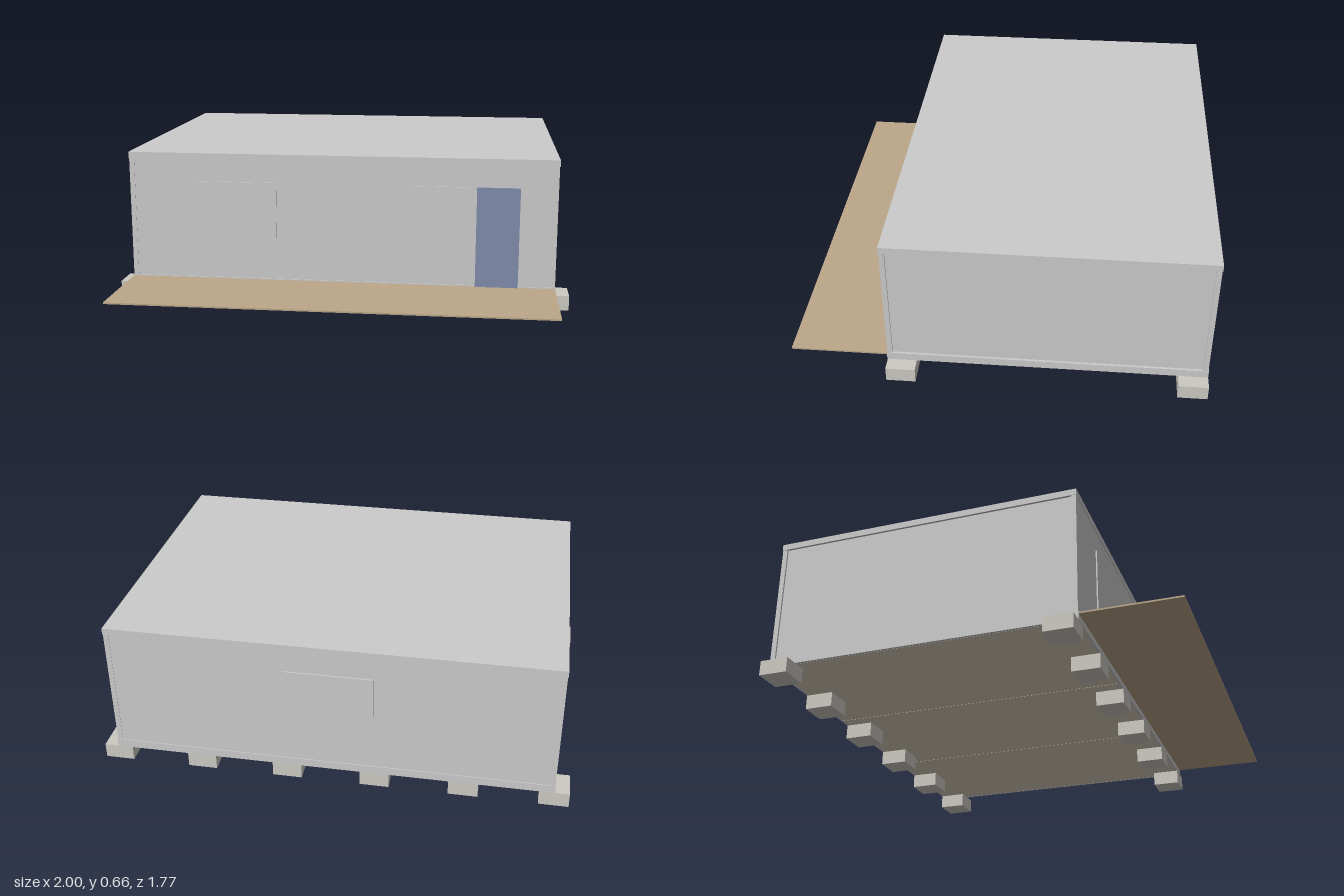
import * as THREE from 'three';

const X = 0.94, FRONT = 0.472, BACK = -0.88;      // outer faces of the frame
const DEPTH = FRONT - BACK, MID = (FRONT + BACK) / 2;
const BASE = 0.065, SILL = 0.1, EAVE = 0.632, TOP = 0.66;

const material = (color) => new THREE.MeshStandardMaterial({ color });
const grey = material(0xcccccc);
const concrete = material(0xcdcac3);
const flooring = material(0xd9d0bd);
const wood = material(0xbba78a);
const doorBlue = material(0x808cac);

export function createModel() {
  const model = new THREE.Group();

  // Box given by its minimum and maximum corners
  function box(name, mat, [x0, y0, z0], [x1, y1, z1]) {
    const mesh = new THREE.Mesh(new THREE.BoxGeometry(x1 - x0, y1 - y0, z1 - z0), mat);
    mesh.position.set((x0 + x1) / 2, (y0 + y1) / 2, (z0 + z1) / 2);
    mesh.name = name;
    model.add(mesh);
    return mesh;
  }

  // Foundation blocks, six along the front and six along the back
  for (let i = 0; i < 6; i++) {
    const x = -0.9375 + i * 0.375;
    for (const z of [0.4075, -0.8175]) {
      box('foundationBlock', concrete, [x - 0.0625, 0, z - 0.0625], [x + 0.0625, BASE, z + 0.0625]);
    }
  }

  // Floor of three bays with narrow seams
  const bay = (2 * X - 0.02) / 3;
  for (let i = 0; i < 3; i++) {
    const x = -X + 0.01 + i * bay;
    box('floorPanel', flooring, [x + 0.001, BASE, BACK + 0.01], [x + bay - 0.001, SILL - 0.01, FRONT - 0.01]);
  }

  // Flat roof slab, its edge forming the top beam
  box('roof', grey, [-X, EAVE, BACK], [X, TOP, FRONT]);

  // Base beams
  box('frontBaseBeam', grey, [-X, BASE, FRONT - 0.01], [X, SILL, FRONT]);
  box('backBaseBeam', grey, [-X, BASE, BACK], [X, SILL, BACK + 0.01]);
  for (const s of [-1, 1]) {
    const xs = [s * X, s * (X - 0.01)].sort((a, b) => a - b);
    box('sideBaseBeam', grey, [xs[0], BASE, BACK + 0.01], [xs[1], SILL, FRONT - 0.01]);
  }

  // Corner posts, set slightly inside the beams
  for (const s of [-1, 1]) {
    for (const z of [FRONT - 0.013, BACK + 0.013]) {
      const x = s * (X - 0.013);
      box('cornerPost', grey, [x - 0.011, SILL, z - 0.011], [x + 0.011, EAVE, z + 0.011]);
    }
  }

  // Recessed wall panels
  const inset = 0.022;
  for (const s of [-1, 1]) {
    const side = box('sideWall', grey, [-0.01, SILL, BACK + inset], [0.01, EAVE, FRONT - inset]);
    side.position.x = s * (X - 0.02);
    side.position.z = MID;
  }
  box('frontWall', grey, [-X + inset, SILL, FRONT - 0.025], [X - inset, EAVE, FRONT - 0.004]);
  box('backWall', grey, [-X + inset, SILL, BACK + 0.004], [X - inset, EAVE, BACK + 0.025]);

  // Windows, standing barely proud of the walls
  for (const x of [-0.465, 0.465]) {
    const right = x > 0 ? 0.59 : x + 0.185;
    box('frontWindow', grey, [x - 0.185, 0.24, FRONT - 0.01], [right, 0.535, FRONT + 0.002]);
  }
  box('backWindow', grey, [-0.185, 0.24, BACK - 0.003], [0.185, 0.535, BACK + 0.01]);

  // Entrance door
  box('door', doorBlue, [0.593, 0.095, FRONT - 0.01], [0.778, 0.535, FRONT + 0.005]);

  // Terrace deck
  box('terrace', wood, [-X + 0.002, 0.088, FRONT], [X - 0.002, 0.095, 0.883]);

  return model;
}
